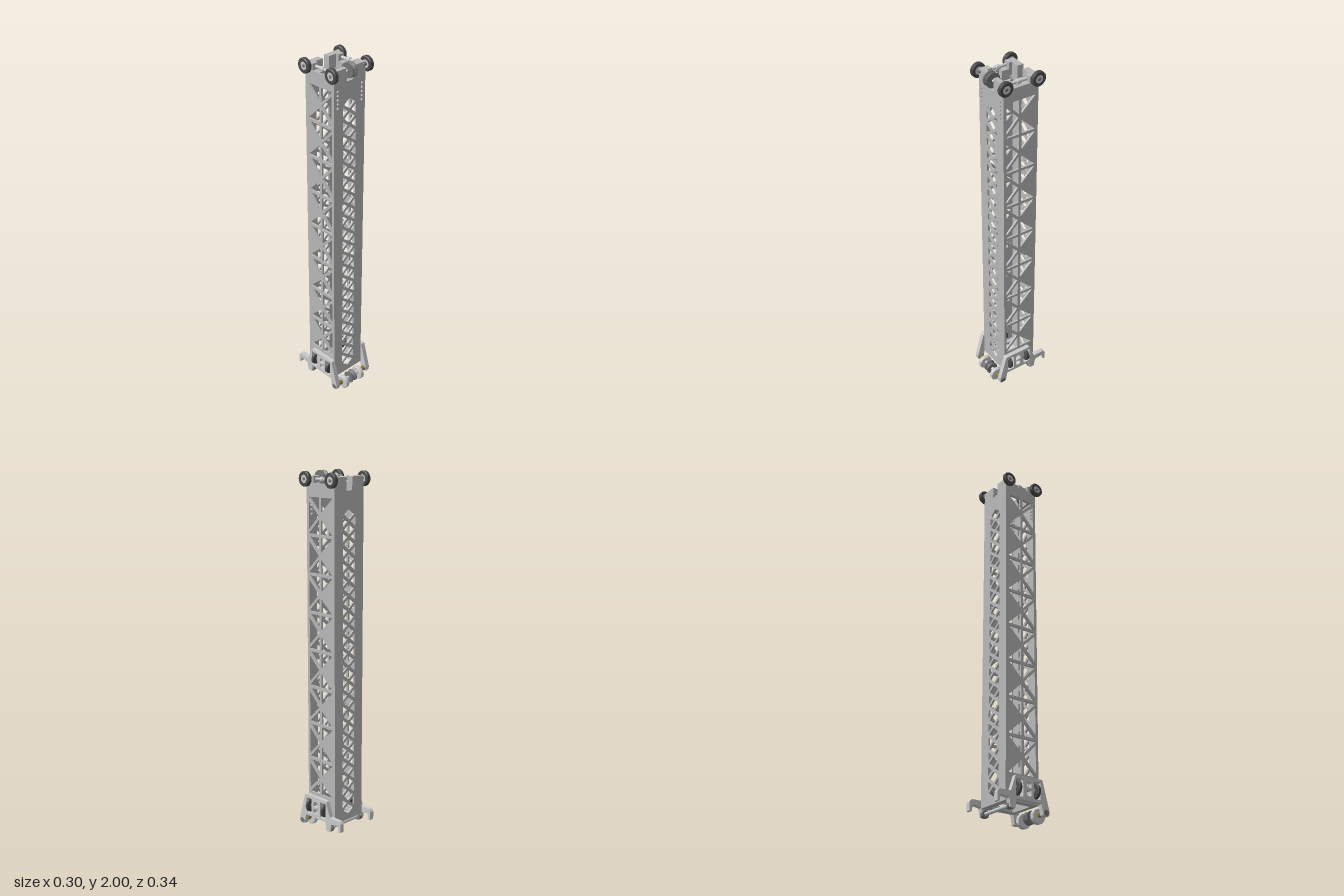
import * as THREE from 'three';
import { toCreasedNormals } from 'three/addons/utils/BufferGeometryUtils.js';

const paint = (name, color) => {
  const m = new THREE.MeshStandardMaterial({ color });
  m.name = name;
  return m;
};

export function createModel() {
  const alloy = paint('alloy grey', 0xb8b8b8);
  const light = paint('light grey', 0xcacaca);
  const mid = paint('mid grey', 0x767676);
  const dark = paint('dark rubber', 0x4a4a4a);
  const brass = paint('brass', 0x8a742a);
  const model = new THREE.Group();
  model.name = 'latticeTower';

  const add = (name, geo, mat, x = 0, y = 0, z = 0) => {
    const m = new THREE.Mesh(geo, mat);
    m.name = name;
    m.position.set(x, y, z);
    model.add(m);
    return m;
  };
  const poly = pts => new THREE.Shape(pts.map(p => new THREE.Vector2(...p)));

  // Closed outline with rounded corners
  const rounded = (pts, r, target = new THREE.Path()) => {
    const v = pts.map(p => new THREE.Vector2(...p));
    v.forEach((p, i) => {
      const toward = q => p.clone().add(q.clone().sub(p).setLength(r));
      const a = toward(v[(i + v.length - 1) % v.length]);
      const b = toward(v[(i + 1) % v.length]);
      if (i) target.lineTo(a.x, a.y); else target.moveTo(a.x, a.y);
      target.quadraticCurveTo(p.x, p.y, b.x, b.y);
    });
    target.closePath();
    return target;
  };
  const rect = (x0, x1, y0, y1) => [[x0, y0], [x1, y0], [x1, y1], [x0, y1]];
  const circle = (x, y, r) => new THREE.Path().absarc(x, y, r, 0, Math.PI * 2, true);

  // Convex cell shrunk by half a strut width on each edge, then rounded
  const cell = (pts, d, r) => {
    const v = pts.map(p => new THREE.Vector2(...p));
    const s = Math.sign(THREE.ShapeUtils.area(v));
    const normal = (a, b) => new THREE.Vector2(a.y - b.y, b.x - a.x).setLength(s);
    return rounded(v.map((p, i) => {
      const n1 = normal(v[(i + v.length - 1) % v.length], p);
      const n2 = normal(p, v[(i + 1) % v.length]);
      const k = d / (1 + n1.dot(n2));
      return [p.x + (n1.x + n2.x) * k, p.y + (n1.y + n2.y) * k];
    }), r);
  };

  const extrude = (shape, depth) =>
    new THREE.ExtrudeGeometry(shape, { depth, bevelEnabled: false, curveSegments: 4 });
  // Shape drawn in (z, y), filling xMin..xMax
  const sidePlate = (name, shape, xMin, xMax, mat) =>
    add(name, extrude(shape, xMax - xMin).rotateY(-Math.PI / 2), mat, xMax);
  // Shape drawn in (x, z), filling upward from y
  const flatPlate = (name, shape, y, h, mat) =>
    add(name, extrude(shape, h).rotateX(Math.PI / 2), mat, 0, y + h);

  // Turned part from [radius, offset] points
  const turned = (pts, axis) => {
    const g = new THREE.LatheGeometry(pts.map(p => new THREE.Vector2(...p)), 28);
    if (axis === 'x') g.rotateZ(-Math.PI / 2); else g.rotateX(Math.PI / 2);
    return toCreasedNormals(g, 0.6);
  };
  const tyre = (r, w, inner, c) => [[inner, -w], [r - c, -w], [r, c - w], [r, w - c], [r - c, w], [inner, w], [inner, -w]];
  const disc = (r, w, c = 0.002) => [[0, -w], [r - c, -w], [r, c - w], [r, w - c], [r - c, w], [0, w]];
  const pulley = (r, w) => [[0, -w], [r, -w], [r, -w * 0.7], [r * 0.65, -w * 0.2], [r * 0.65, w * 0.2], [r, w * 0.7], [r, w], [0, w]];

  const X = 0.107, ZF = 0.103, ZB = -0.103, T = 0.011, BASE = 0.085, TOP = 1.975;

  // Front and back walls: a central column of diamonds and triangles
  const N = 21, y0 = 0.143, pitch = (1.785 - y0) / N, W = 0.052;
  for (const front of [true, false]) {
    const wall = poly([[-X, BASE], [X, BASE], [X, TOP], [0.021, TOP], [0.021, 1.905],
      [-0.021, 1.905], [-0.021, TOP], [-X, TOP]]);
    for (let i = 0; i <= N; i++) {
      const y = y0 + i * pitch, h = pitch / 2;
      wall.holes.push(cell([[0, y - h], [W, y], [0, y + h], [-W, y]], 0.008, 0.008));
      if (i < N) for (const s of [-1, 1])
        wall.holes.push(cell([[s * W, y], [s * W, y + pitch], [0, y + h]], 0.007, 0.006));
    }
    if (front) for (let i = 0; i < 5; i++) for (const x of [-0.083, 0.083])
      wall.holes.push(circle(x, 1.78 + i * 0.0225, 0.007));
    add(front ? 'frontWall' : 'backWall', extrude(wall, T), alloy, 0, 0, front ? ZF - T : ZB);
  }

  // Side walls: eight crossed bays split by a central upright
  const C = 0.004, bays = 8, b0 = 0.218, bay = (1.876 - b0) / bays;
  for (const s of [-1, 1]) {
    const wall = poly([[ZB + T, BASE], [ZF - T, BASE], [ZF - T, 1.94], [ZB + T, 1.94]]);
    for (let i = 0; i < bays; i++) for (const z of [-0.104, 0.106]) {
      const lo = b0 + i * bay, hi = lo + bay, m = (lo + hi) / 2;
      wall.holes.push(cell([[C, m], [z, hi], [C, hi]], 0.0075, 0.005));
      wall.holes.push(cell([[C, m], [z, lo], [C, lo]], 0.0075, 0.005));
      wall.holes.push(cell([[C, m], [z, lo], [z, hi]], 0.0075, 0.005));
    }
    wall.holes.push(rounded(rect(-0.06, 0.088, 0.1, 0.195), 0.01));
    sidePlate('sideWall', wall, s > 0 ? X - T : -X, s > 0 ? X : T - X, alloy);
  }

  // Top collar with corner blocks
  const collar = poly(rect(-X + T, X - T, ZB + T, ZF - T));
  collar.holes.push(rounded(rect(-0.071, 0.071, -0.068, 0.077), 0.02));
  flatPlate('topCollar', collar, 1.885, 0.02, alloy);
  for (const s of [-1, 1]) {
    for (const [za, zb, zi] of [[0.1, 0.05, 0.077], [-0.1, -0.05, -0.068]])
      flatPlate('cornerBlock', poly([[s * 0.021, za], [s * X, za], [s * X, zb],
        [s * 0.071, zb], [s * 0.071, zi], [s * 0.021, zi]]), 1.905, 0.07, alloy);
    for (const [za, zb] of [[-0.05, -0.01], [0.017, 0.05]])
      flatPlate('sideRim', poly(rect(s > 0 ? 0.071 : -X, s > 0 ? X : -0.071, za, zb)), 1.905, 0.035, alloy);
    add('sidePin', turned(disc(0.008, 0.05), 'z'), light, s * 0.088, 1.96, 0.004);
    add('sidePinCollar', turned(disc(0.013, 0.012), 'z'), light, s * 0.088, 1.96, 0.004);

    // Top guide wheels
    for (const z of [0.1, -0.091]) {
      add('topWheelTyre', turned(tyre(0.04, 0.012, 0.022, 0.004), 'x'), dark, s * 0.12, 1.96, z);
      add('topWheelHub', turned(tyre(0.023, 0.009, 0.009, 0.001), 'x'), light, s * 0.12, 1.96, z);
      add('topWheelAxle', turned(disc(0.0095, 0.02), 'x'), mid, s * 0.112, 1.96, z);
    }
  }

  // Top pulley in the front notch
  add('topPulley', turned(pulley(0.04, 0.016), 'x'), mid, 0, 1.96, 0.1);
  add('topPulleyAxle', turned(disc(0.008, 0.026), 'x'), light, 0, 1.96, 0.1);

  // Lower brackets with front arm and rear hook
  for (const s of [-1, 1]) {
    const bracket = rounded([[0.107, 0.21], [-0.06, 0.21], [-0.09, 0.122], [-0.158, 0.122],
      [-0.172, 0.108], [-0.172, 0.058], [-0.158, 0.058], [-0.152, 0.096], [-0.1, 0.088],
      [-0.092, 0.04], [-0.062, 0.04], [-0.056, 0.088], [0.1, 0.088], [0.112, 0.028],
      [0.148, 0.028], [0.15, 0.055]], 0.006, new THREE.Shape());
    bracket.holes.push(rounded(rect(0.054, 0.094, 0.102, 0.194), 0.008));
    bracket.holes.push(rounded(rect(-0.058, -0.014, 0.102, 0.194), 0.008));
    bracket.holes.push(rounded(rect(0.008, 0.038, 0.112, 0.185), 0.012));
    sidePlate('lowerBracket', bracket, s > 0 ? X : -0.133, s > 0 ? 0.133 : -X, light);
    add('bracketBoss', new THREE.BoxGeometry(0.028, 0.012, 0.03), light, s * 0.121, 0.148, 0.023);

    // Side rollers turned to run along the width
    for (const z of [0.078, -0.039]) {
      add('sideRoller', turned(disc(0.04, 0.0085, 0.003), 'z'), dark, s * 0.111, 0.148, z);
      add('sideRollerHub', turned(disc(0.015, 0.014), 'z'), mid, s * 0.111, 0.148, z);
    }
    add('rearRoller', turned(disc(0.022, 0.01), 'x'), mid, s * 0.112, 0.056, -0.075);

    // Brass spacers and flat rollers on the front axle
    add('brassSpacer', turned(disc(0.013, 0.017), 'x'), brass, s * 0.09, 0.045, 0.13);
    add('frontRoller', turned(disc(0.04, 0.012, 0.003), 'x'), light, s * 0.06, 0.04, 0.131);
    add('axleEnd', turned(disc(0.016, 0.015), 'x'), mid, s * 0.12, 0.045, 0.13);
  }

  // Lower axles and front pulley
  add('frontAxle', turned(disc(0.01, 0.13), 'x'), light, 0, 0.045, 0.13);
  add('rearAxle', turned(disc(0.01, 0.13), 'x'), light, 0, 0.056, -0.075);
  add('lowerPulley', turned(pulley(0.035, 0.018), 'x'), mid, 0, 0.045, 0.13);

  // Base frame
  const base = poly(rect(-X, X, ZB, ZF));
  base.holes.push(rounded(rect(-0.071, 0.071, -0.068, 0.077), 0.02));
  flatPlate('baseFrame', base, 0.08, 0.012, alloy);
  return model;
}
